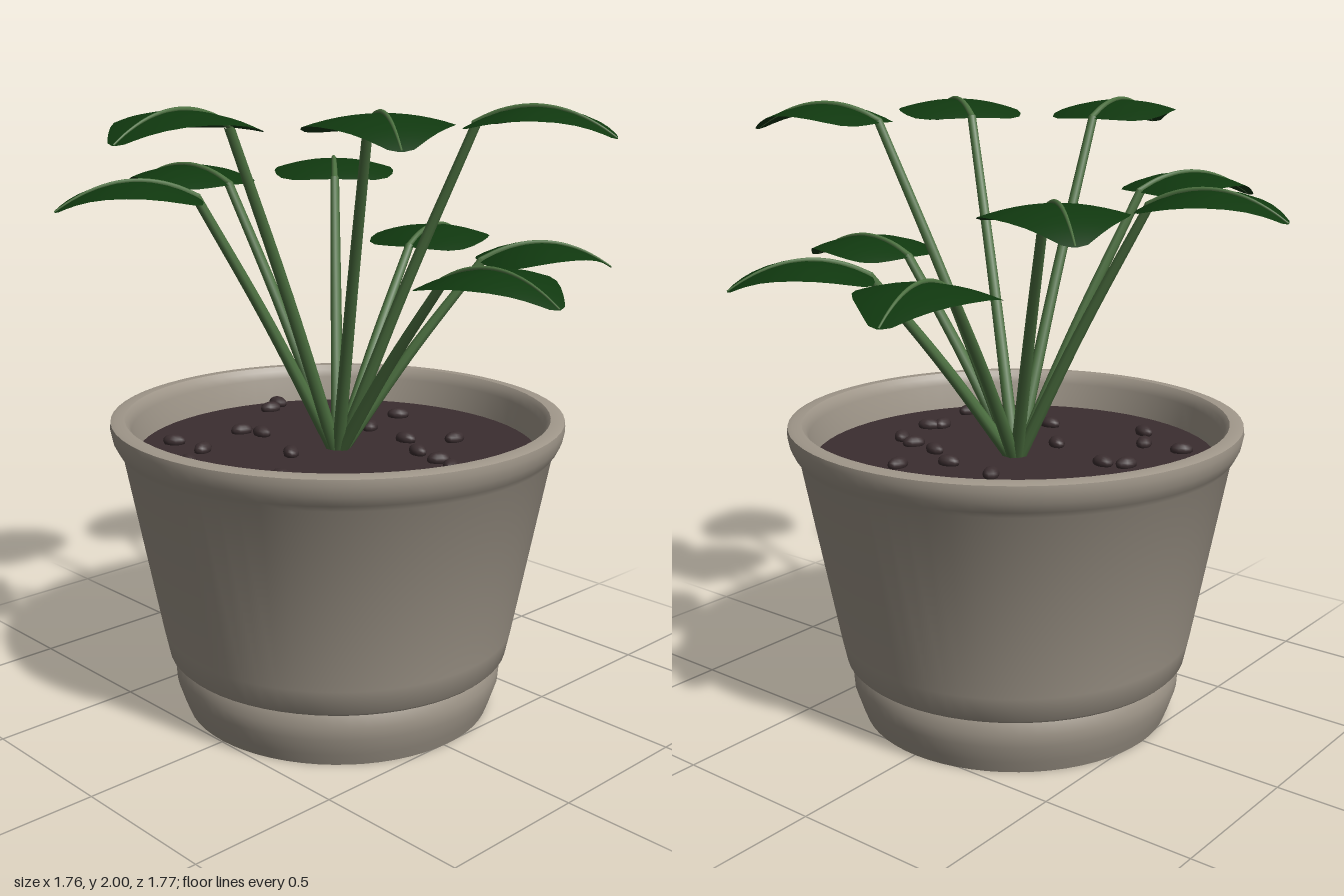
import * as THREE from 'three';
import { toCreasedNormals } from 'three/addons/utils/BufferGeometryUtils.js';

const CX = -0.005, CZ = -0.015; // pot axis
const SOIL_Y = 0.875;

const material = (name, color, extra = {}) => {
  const m = new THREE.MeshStandardMaterial({ color, ...extra });
  m.name = name;
  return m;
};

const lathe = (points) => toCreasedNormals(
  new THREE.LatheGeometry(points.map(([r, y]) => new THREE.Vector2(r, y)), 64), 0.6);

// Domed height of a leaf at t along its length and w to the side
const LEAF_LENGTH = 0.44;
const leafHeight = (t, w) => -0.085 * ((t - 0.45) / 0.55) ** 2 - 0.035 * (w / 0.21) ** 2;

// Ovate leaf: cross-sections from base to tip, along +x
function leafGeometry() {
  const outline = [[0, 0.03], [0.015, 0.09], [0.05, 0.145], [0.12, 0.185], [0.22, 0.205], [0.34, 0.211],
    [0.46, 0.204], [0.58, 0.185], [0.7, 0.152], [0.8, 0.115], [0.88, 0.082], [0.94, 0.055], [0.98, 0.035], [1, 0.006]];
  const n = 12, pos = [], idx = [];
  outline.forEach(([t, half], i) => {
    for (let j = 0; j <= n; j++) {
      const w = half * (2 * j / n - 1);
      pos.push(t * LEAF_LENGTH, leafHeight(t, w), w);
      if (i && j) {
        const d = i * (n + 1) + j, c = d - 1, b = d - n - 1, a = b - 1;
        idx.push(a, b, d, a, d, c);
      }
    }
  });
  const g = new THREE.BufferGeometry();
  g.setAttribute('position', new THREE.Float32BufferAttribute(pos, 3));
  g.setIndex(idx);
  g.computeVertexNormals();
  return g;
}

// Tube along a curve that narrows from r0 to r1
function taperedTube(curve, r0, r1, segments = 16, sides = 8) {
  const g = new THREE.TubeGeometry(curve, segments, 1, sides);
  const p = g.attributes.position, v = new THREE.Vector3();
  for (let i = 0; i <= segments; i++) {
    const c = curve.getPointAt(i / segments);
    const r = r0 + (r1 - r0) * i / segments;
    for (let j = 0; j <= sides; j++) {
      const k = i * (sides + 1) + j;
      v.fromBufferAttribute(p, k).sub(c).multiplyScalar(r).add(c);
      p.setXYZ(k, v.x, v.y, v.z);
    }
  }
  return g;
}

export function createModel() {
  const model = new THREE.Group();
  model.name = 'pottedPlant';
  const clay = material('potClay', 0xa0978a, { side: THREE.DoubleSide });
  const earth = material('soilBrown', 0x3b2e30);
  const leafGreen = material('leafGreen', 0x10380f, { side: THREE.DoubleSide });
  const stemGreen = material('stemGreen', 0x4c7040);

  const add = (parent, name, geometry, mat, x = 0, y = 0, z = 0) => {
    const mesh = new THREE.Mesh(geometry, mat);
    mesh.name = name;
    mesh.position.set(x, y, z);
    parent.add(mesh);
    return mesh;
  };

  // Saucer foot and flared pot with a rolled rim
  add(model, 'saucer', lathe([[0, 0], [0.51, 0], [0.525, 0.04], [0.545, 0.1], [0.548, 0.14],
    [0.54, 0.185], [0.53, 0.2]]), clay, CX, 0, CZ);
  add(model, 'pot', lathe([[0, 0.19], [0.558, 0.19], [0.568, 0.2], [0.585, 0.28], [0.70, 0.89],
    [0.715, 0.91], [0.73, 0.94], [0.737, 0.975], [0.735, 0.995], [0.72, 1], [0.69, 1], [0.677, 0.985],
    [0.67, 0.96], [0.655, 0.86]]), clay, CX, 0, CZ);
  add(model, 'soil', new THREE.CircleGeometry(0.66, 64).rotateX(-Math.PI / 2), earth, CX, SOIL_Y, CZ);

  // Small clods lying on the soil
  const clods = [[-0.57, -0.25], [-0.53, -0.18], [-0.32, -0.42], [-0.15, -0.45], [-0.1, -0.26], [0.09, -0.24],
    [0.2, -0.36], [0.22, -0.16], [0.33, -0.14], [0.41, -0.11], [0.44, 0.06], [0.41, 0.1], [-0.3, 0.06],
    [-0.37, 0.09], [-0.05, 0.15], [-0.42, 0.34], [-0.28, 0.33], [0.12, 0.34], [0.46, 0.3], [-0.2, 0.45]];
  const clodGeometry = new THREE.SphereGeometry(0.035, 10, 8);
  clods.forEach(([x, z], i) => {
    const clod = add(model, 'soilClod', clodGeometry, earth, x, SOIL_Y + 0.01, z);
    clod.scale.set(1.1, 0.65, 0.75);
    clod.rotation.y = i * 1.3;
  });

  // Nine leaves in three tiers: tip x, tip z, height of the leaf crown
  const leaves = [
    [-0.235, -0.89, 1.54], [0.52, -0.75, 1.54], [0.88, -0.02, 1.54],
    [-0.39, 0.78, 1.765], [-0.88, 0.13, 1.765], [-0.68, -0.63, 1.765],
    [0.83, -0.32, 1.99], [0.74, 0.47, 1.99], [0.07, 0.88, 1.99]];
  const blade = leafGeometry();
  const ribPoints = [0, 0.15, 0.3, 0.45, 0.6, 0.75, 0.9, 1].map(
    (t) => new THREE.Vector3(t * LEAF_LENGTH, leafHeight(t, 0) + 0.002, 0));
  const rib = taperedTube(new THREE.CatmullRomCurve3(ribPoints), 0.011, 0.003, 20);

  leaves.forEach(([x, z, y]) => {
    const dx = x + 0.01, dz = z + 0.02;
    const start = Math.hypot(dx, dz) - LEAF_LENGTH; // distance of the leaf base from the axis
    const stalk = new THREE.Group();
    stalk.name = 'leafStalk';
    stalk.position.set(-0.01, 0, -0.02);
    stalk.rotation.y = -Math.atan2(dz, dx);
    model.add(stalk);

    add(stalk, 'leaf', blade, leafGreen, start, y, 0);
    add(stalk, 'midrib', rib, stemGreen, start, y, 0);
    const baseY = y + leafHeight(0, 0);
    const path = new THREE.CatmullRomCurve3([
      new THREE.Vector3(0.005, SOIL_Y - 0.02, 0),
      new THREE.Vector3(start * 0.52, SOIL_Y + (baseY - SOIL_Y) * 0.52, 0),
      new THREE.Vector3(start + 0.01, baseY + 0.005, 0)]);
    add(stalk, 'stem', taperedTube(path, 0.022, 0.015), stemGreen);
  });
  return model;
}
